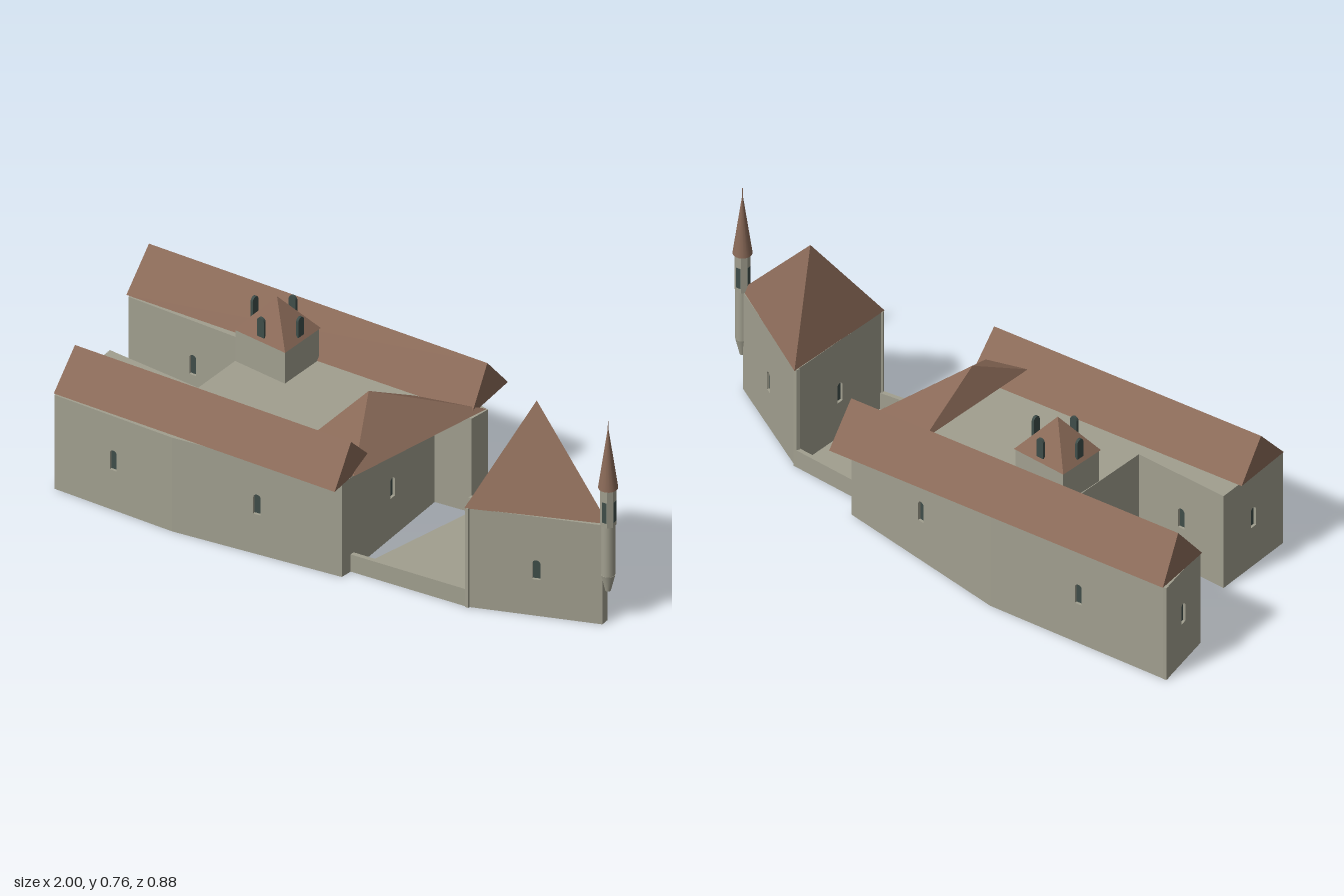
import * as THREE from 'three';

const mat = (name, color) => {
  const m = new THREE.MeshStandardMaterial({ color });
  m.name = name;
  return m;
};

export function createModel() {
  const model = new THREE.Group();
  const stone = mat('stone', 0xa19f8f);
  const tile = mat('roof tile', 0x8a6a58);
  const glass = mat('window', 0x3f4d49);
  const DEPTH = 0.012;

  const add = (name, geo, material, parent = model) => {
    const mesh = new THREE.Mesh(geo, material);
    mesh.name = name;
    parent.add(mesh);
    return mesh;
  };

  // Arched outline, w wide, from y0 to y1, centred on cx
  const arch = (Type, cx, y0, y1, w) => {
    const r = w / 2, p = new Type();
    p.moveTo(cx - r, y0);
    p.lineTo(cx + r, y0);
    p.lineTo(cx + r, y1 - r);
    p.absarc(cx, y1 - r, r, 0, Math.PI, false);
    p.lineTo(cx - r, y0);
    return p;
  };

  // Upright wall panel from a to b ([x, z]); the outer face is on the line
  const wall = (name, a, b, height, win, depth = DEPTH) => {
    const dx = b[0] - a[0], dz = b[1] - a[1], len = Math.hypot(dx, dz);
    const g = new THREE.Group();
    g.name = name;
    g.position.set(a[0], 0, a[1]);
    g.rotation.y = Math.atan2(-dz, dx);
    const s = new THREE.Shape();
    s.moveTo(0, 0);
    s.lineTo(len, 0);
    s.lineTo(len, height);
    s.lineTo(0, height);
    if (win) {
      s.holes.push(arch(THREE.Path, len / 2, win[0], win[1], 0.026));
      const pane = arch(THREE.Shape, len / 2, win[0], win[1], 0.026);
      add('windowPane', new THREE.ShapeGeometry(pane, 6), glass, g).position.z = 0.003 - depth;
    }
    const geo = new THREE.ExtrudeGeometry(s, { depth, bevelEnabled: false, curveSegments: 6 });
    add('wallPanel', geo, stone, g).position.z = -depth;
    model.add(g);
  };

  // Flat horizontal plate over a plan outline, facing up or down
  const cap = (name, pts, y, up) => {
    const s = new THREE.Shape(pts.map(([x, z]) => new THREE.Vector2(x, up ? -z : z)));
    const geo = new THREE.ShapeGeometry(s).rotateX(up ? -Math.PI / 2 : Math.PI / 2);
    add(name, geo, stone).position.y = y;
  };

  // Closed block of walls; wins maps an edge number to a window's [bottom, top]
  const block = (name, pts, height, wins) => {
    pts.forEach((p, i) => wall(name + 'Wall', p, pts[(i + 1) % pts.length], height, wins[i]));
    cap(name + 'Top', pts, height, true);
    cap(name + 'Base', pts, 0, false);
  };

  // Flat-faced solid from corners and polygon faces
  const solid = (name, v, faces, material) => {
    const out = [];
    faces.forEach(f => {
      for (let i = 1; i < f.length - 1; i++) out.push(...v[f[0]], ...v[f[i]], ...v[f[i + 1]]);
    });
    const geo = new THREE.BufferGeometry();
    geo.setAttribute('position', new THREE.Float32BufferAttribute(out, 3));
    geo.computeVertexNormals();
    return add(name, geo, material);
  };

  // Pyramid over an outline given south-west, south-east, north-east, north-west
  const pyramid = (name, base, apex) => {
    const n = base.length;
    const faces = base.map((_, i) => [i, (i + 1) % n, n]);
    faces.push([...base.keys()].reverse());
    solid(name, [...base, apex], faces, tile);
  };

  // Ridged roof: eave corners SW, SE, NE, NW, then ridge ends W, E
  const ridged = (name, eave, y, ridge, top) =>
    solid(name, [...eave.map(([x, z]) => [x, y, z]), ...ridge.map(([x, z]) => [x, top, z])],
      [[0, 1, 5, 4], [1, 2, 5], [2, 3, 4, 5], [3, 0, 4], [3, 2, 1, 0]], tile);

  // Main building
  const w = [0.15, 0.225];
  block('mainBuilding', [
    [-0.92, 0.385], [-0.48, 0.415], [0.11, 0.38], [0.12, 0.34], [0.16, -0.13],
    [0.29, -0.135], [0.31, -0.205], [-0.32, -0.39], [-1, -0.435], [-0.985, -0.21],
    [-0.5, -0.17], [-0.545, 0.13], [-0.89, 0.08],
  ], 0.355, { 0: w, 1: w, 3: w, 6: w, 7: w, 8: w, 9: w, 11: w, 12: w });

  ridged('southWingRoof', [[-0.925, 0.38], [0.115, 0.435], [0.125, 0.205], [-0.91, 0.155]], 0.356,
    [[-0.91, 0.27], [0.113, 0.325]], 0.48);
  ridged('northWingRoof', [[-0.995, -0.215], [0.28, -0.155], [0.29, -0.37], [-0.99, -0.44]], 0.356,
    [[-0.975, -0.325], [0.28, -0.255]], 0.492);
  pyramid('crossRoof', [[-0.055, 0.42, 0.255], [0.125, 0.356, 0.33], [0.305, 0.356, -0.205],
    [0.07, 0.356, -0.16]], [0.04, 0.505, 0.08]);

  // Small square lantern on the flat roof
  const lantern = [[-0.52, -0.055], [-0.315, -0.018], [-0.285, -0.195], [-0.49, -0.23]];
  const mid = [-0.402, -0.122];
  const inset = k => lantern.map(([x, z]) => [mid[0] + (x - mid[0]) * k, mid[1] + (z - mid[1]) * k]);
  const ring = inset(0.96);
  const body = [...ring.map(([x, z]) => [x, 0.35, z]), ...ring.map(([x, z]) => [x, 0.48, z])];
  solid('lanternBody', body, [0, 1, 2, 3].map(i => [i, (i + 1) % 4, 4 + (i + 1) % 4, 4 + i]), stone);
  pyramid('lanternRoof', lantern.map(([x, z]) => [x, 0.475, z]), [mid[0], 0.6, mid[1]]);
  const dormers = inset(0.84);
  dormers.forEach((a, i) => {
    const b = dormers[(i + 1) % 4];
    const geo = new THREE.ExtrudeGeometry(arch(THREE.Shape, 0, 0.488, 0.56, 0.028),
      { depth: 0.009, bevelEnabled: false, curveSegments: 6 });
    const m = add('lanternDormer', geo, glass);
    m.position.set((a[0] + b[0]) / 2, 0, (a[1] + b[1]) / 2);
    m.rotation.y = Math.atan2(a[1] - b[1], b[0] - a[0]);
  });

  // Low walled court between building and gate tower
  const court = [[0.12, 0.34], [0.535, 0.335], [0.597, -0.08], [0.29, -0.135]];
  cap('courtFloor', court, 0.004, true);
  cap('courtBase', court, 0, false);
  wall('southParapet', court[0], court[1], 0.065, null, 0.015);
  wall('northParapet', court[2], court[3], 0.065, null, 0.015);

  // Three-sided tower with blunt corners
  const tw = [0.137, 0.21];
  block('tower', [[0.53, 0.338], [0.545, 0.332], [0.955, 0.215], [0.957, 0.187],
    [0.606, -0.072], [0.592, -0.081]], 0.375, { 1: tw, 3: tw, 5: tw });
  pyramid('towerRoof', [[0.528, 0.374, 0.34], [0.97, 0.374, 0.2], [0.595, 0.374, -0.087]],
    [0.67, 0.703, 0.127]);

  // Corner turret
  const turret = new THREE.Group();
  turret.name = 'turret';
  turret.position.set(0.967, 0, 0.2);
  model.add(turret);
  const tube = (name, rTop, rBottom, y0, y1, sides, material) => {
    const geo = new THREE.CylinderGeometry(rTop, rBottom, y1 - y0, sides);
    const m = add(name, geo.rotateY(Math.PI / sides).toNonIndexed(), material, turret);
    if (sides < 12) m.geometry.computeVertexNormals();
    m.position.y = (y0 + y1) / 2;
  };
  tube('turretCorbel', 0.024, 0.009, 0.125, 0.188, 16, stone);
  tube('turretShaft', 0.023, 0.023, 0.188, 0.375, 16, stone);
  tube('turretChamber', 0.026, 0.026, 0.375, 0.517, 8, stone);
  tube('turretRoof', 0.002, 0.032, 0.515, 0.73, 16, tile);
  tube('turretFinial', 0.001, 0.0015, 0.725, 0.765, 6, tile);
  for (let i = 0; i < 4; i++) {
    const a = i * Math.PI / 2;
    const m = add('turretWindow', new THREE.BoxGeometry(0.017, 0.076, 0.002), glass, turret);
    m.position.set(Math.sin(a) * 0.0242, 0.431, Math.cos(a) * 0.0242);
    m.rotation.y = a;
  }

  return model;
}
